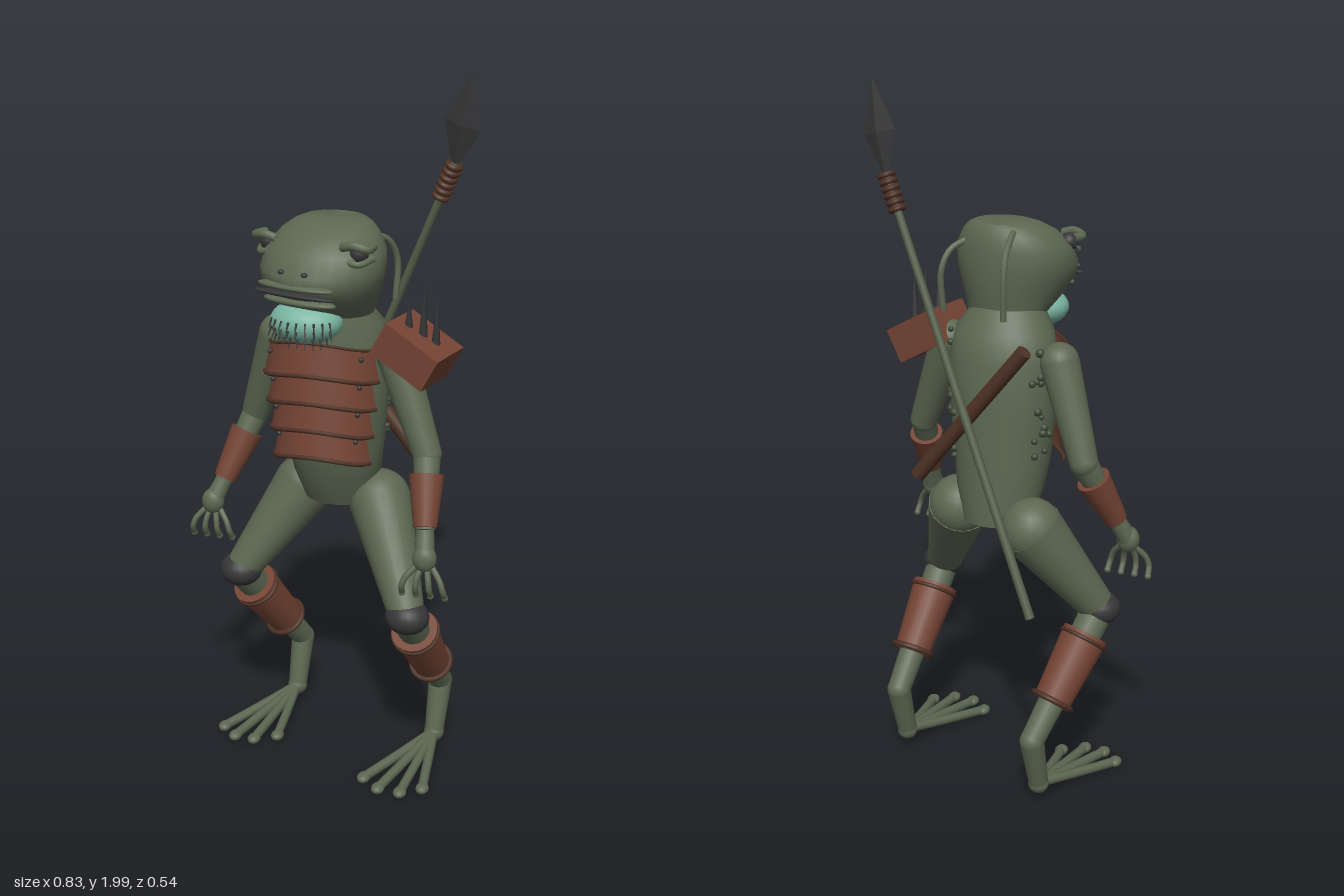
import * as THREE from 'three';
import { toCreasedNormals } from 'three/addons/utils/BufferGeometryUtils.js';

const mat = (name, color) => {
  const m = new THREE.MeshStandardMaterial({ color });
  m.name = name;
  return m;
};
const V = (a) => new THREE.Vector3(...a);
const UP = new THREE.Vector3(0, 1, 0);

export function createModel() {
  const root = new THREE.Group();
  root.name = 'frogWarrior';
  const skin = mat('skin green', 0x5c6852);
  const wood = mat('shaft green', 0x56604c);
  const wart = mat('wart green', 0x3f493a);
  const leather = mat('leather brown', 0x744434);
  const strap = mat('dark brown', 0x4d3124);
  const metal = mat('dark metal', 0x363638);
  const sac = mat('throat teal', 0x79b3a0);
  leather.side = THREE.DoubleSide;

  const add = (name, geo, material, pos = [0, 0, 0], parent = root) => {
    const m = new THREE.Mesh(geo, material);
    m.name = name;
    m.position.set(...pos);
    parent.add(m);
    return m;
  };
  // tapered cylinder from a (radius ra) to b (radius rb)
  const limb = (name, a, b, ra, rb, material, parent = root, sides = 20) => {
    const d = V(b).sub(V(a));
    const m = add(name, new THREE.CylinderGeometry(rb, ra, d.length(), sides), material, [0, 0, 0], parent);
    m.position.copy(V(a)).addScaledVector(d, 0.5);
    m.quaternion.setFromUnitVectors(UP, d.normalize());
    return m;
  };
  const ball = (name, p, r, material, scale = [1, 1, 1], parent = root) => {
    const m = add(name, new THREE.SphereGeometry(r, 20, 14), material, p, parent);
    m.scale.set(...scale);
    return m;
  };
  const tube = (name, pts, r, material, parent = root) =>
    add(name, new THREE.TubeGeometry(new THREE.CatmullRomCurve3(pts.map(V)), 14, r, 8), material, [0, 0, 0], parent);
  const ring = (name, p, dir, r, t, material) => {
    const m = add(name, new THREE.TorusGeometry(r, t, 8, 24), material, p);
    m.quaternion.setFromUnitVectors(new THREE.Vector3(0, 0, 1), dir.clone().normalize());
    return m;
  };
  const lerp = (a, b, t) => a.map((v, i) => v + (b[i] - v) * t);

  // closed body from elliptical sections [halfWidth, y, zBack, zFront]
  const loft = (sections) => {
    const first = sections[0], last = sections[sections.length - 1];
    const rows = [[0, ...first.slice(1)], ...sections, [0, ...last.slice(1)]];
    const geo = new THREE.LatheGeometry(rows.map((s) => new THREE.Vector2(s[0], s[1])), 32);
    const p = geo.attributes.position;
    for (let i = 0; i < p.count; i++) {
      const [w, , back, front] = rows[i % rows.length];
      const k = w > 0 ? p.getZ(i) / w : 0;
      p.setZ(i, (back + front) / 2 + k * (front - back) / 2);
    }
    return toCreasedNormals(geo, 0.7);
  };

  // torso
  add('torso', loft([
    [0.1, 0.79, -0.13, 0.04], [0.125, 0.88, -0.13, 0.085], [0.14, 0.98, -0.125, 0.115],
    [0.152, 1.12, -0.125, 0.125], [0.155, 1.25, -0.12, 0.125], [0.14, 1.33, -0.1, 0.12],
    [0.1, 1.39, -0.05, 0.12],
  ]), skin, [0.017, 0, 0]);

  // head, turned a little to its right
  const head = new THREE.Group();
  head.name = 'head';
  head.position.set(0.02, 0, 0.09);
  head.rotation.y = -0.22;
  root.add(head);
  add('skull', loft([
    [0.115, 1.37, -0.135, 0.06], [0.135, 1.41, -0.14, 0.125], [0.15, 1.44, -0.145, 0.155],
    [0.163, 1.47, -0.147, 0.175], [0.17, 1.5, -0.148, 0.172], [0.165, 1.55, -0.147, 0.14],
    [0.135, 1.59, -0.14, 0.09], [0.11, 1.61, -0.13, 0.05], [0.085, 1.62, -0.12, 0.02],
  ]), skin, [0, 0, 0], head);
  ball('mouthLine', [0, 1.452, 0.157], 0.125, metal, [1, 0.07, 0.15], head);
  ball('upperLip', [0, 1.472, 0.15], 0.115, skin, [1, 0.11, 0.26], head);
  ball('lowerLip', [0, 1.428, 0.13], 0.11, skin, [1, 0.13, 0.28], head);
  for (const s of [-1, 1]) {
    ball('eye', [s * 0.137, 1.558, 0.06], 0.025, metal, [1, 1, 1], head);
    tube('browRidge', [[s * 0.1, 1.575, 0.085], [s * 0.135, 1.583, 0.09], [s * 0.17, 1.575, 0.075], [s * 0.165, 1.575, 0.035]], 0.012, skin, head);
    tube('lowerLid', [[s * 0.115, 1.54, 0.09], [s * 0.15, 1.535, 0.085], [s * 0.168, 1.545, 0.04]], 0.009, skin, head);
    ball('nostril', [s * 0.035, 1.51, 0.162], 0.009, metal, [1, 0.7, 1], head);
  }
  tube('headTendril', [[-0.025, 1.605, -0.03], [-0.027, 1.56, -0.085], [-0.03, 1.5, -0.11], [-0.03, 1.38, -0.112]], 0.009, skin);
  tube('headTendril', [[0.12, 1.57, 0.0], [0.155, 1.545, -0.04], [0.172, 1.49, -0.065], [0.17, 1.38, -0.06]], 0.009, skin);

  // throat sac with bristles
  const sacC = [-0.01, 1.36, 0.16], sacR = [0.1, 0.058, 0.08];
  ball('throatSac', sacC, 1, sac, sacR);
  for (let row = 0; row < 3; row++) {
    for (let i = -4; i <= 4; i++) {
      const u = i * 0.24, v = 0.25 - row * 0.4;
      const n = [Math.sin(u) * Math.cos(v), Math.sin(v), Math.cos(u) * Math.cos(v)];
      const a = n.map((c, k) => sacC[k] + c * sacR[k]);
      limb('bristle', a, [a[0] + n[0] * 0.01, a[1] - 0.026, a[2] + n[2] * 0.014], 0.0035, 0.0008, metal, root, 6);
    }
  }

  // chest armour: four overlapping arched bands
  const armour = new THREE.Group();
  armour.name = 'chestArmour';
  armour.position.set(0.002, 0, 0.035);
  root.add(armour);
  for (let i = 0; i < 4; i++) {
    const top = 1.285 - i * 0.08, h = 0.088, r = 0.162 - i * 0.008, arc = 1.3;
    const arch = (t) => 0.016 * Math.cos(t * 2.2);
    const geo = new THREE.CylinderGeometry(r - 0.008, r + 0.008, h, 28, 3, true, -arc, arc * 2);
    const p = geo.attributes.position;
    for (let k = 0; k < p.count; k++) {
      const t = Math.atan2(p.getX(k), p.getZ(k));
      p.setXYZ(k, p.getX(k), p.getY(k) + arch(t), p.getZ(k) * 0.87);
    }
    geo.computeVertexNormals();
    add('chestBand', geo, leather, [0, top - h / 2, 0], armour);
    for (const [y, rr, th] of [[top, r - 0.008, 0.004], [top - h, r + 0.008, 0.006]]) {
      const pts = [];
      for (let k = -6; k <= 6; k++) {
        const t = (k / 6) * arc;
        pts.push([Math.sin(t) * rr, y + arch(t), Math.cos(t) * rr * 0.87]);
      }
      tube('bandRim', pts, th, strap, armour);
    }
    for (const s of [-1, 1]) ball('rivet', [s * r * 0.8, top - 0.03, r * 0.55], 0.007, metal, [1, 1, 1], armour);
  }

  // shoulder pad with spikes
  const pad = add('shoulderPad', new THREE.BoxGeometry(0.175, 0.1, 0.155), leather, [0.267, 1.28, 0.066]);
  pad.rotation.set(0, -0.2, -0.5);
  for (const [x, y, tip] of [[0.245, 1.33, 1.42], [0.285, 1.31, 1.46], [0.32, 1.29, 1.43]])
    limb('padSpike', [x, y, 0.07], [x + 0.005, tip, 0.08], 0.013, 0.001, metal, root, 10);

  // arms
  const arms = [
    { sh: [-0.16, 1.26, -0.03], el: [-0.25, 1.0, -0.075], wr: [-0.32, 0.81, 0.01], hand: [-0.345, 0.75, 0.035], s: -1 },
    { sh: [0.2, 1.27, 0.045], el: [0.31, 1.0, 0.095], wr: [0.335, 0.82, 0.19], hand: [0.343, 0.75, 0.22], s: 1 },
  ];
  for (const { sh, el, wr, hand, s } of arms) {
    ball('shoulder', sh, 0.055, skin);
    limb('upperArm', sh, el, 0.055, 0.04, skin);
    ball('elbow', el, 0.04, skin);
    limb('forearm', el, wr, 0.038, 0.026, skin);
    limb('bracer', lerp(el, wr, 0.28), lerp(el, wr, 0.97), 0.048, 0.032, leather);
    limb('wrist', wr, hand, 0.024, 0.028, skin);
    ball('palm', hand, 0.035, skin, [0.95, 1.1, 0.8]);
    const [x, y, z] = hand;
    for (let i = 0; i < 4; i++) {
      const o = (i - 1.5) * 0.038 * s;
      tube('finger', [[x + o * 0.35, y - 0.02, z], [x + o * 0.85, y - 0.055, z + 0.018], [x + o, y - 0.08, z + 0.02], [x + o * 1.05, y - 0.105, z + 0.005]], 0.0085, skin);
      ball('fingertip', [x + o * 1.05, y - 0.106, z + 0.005], 0.0095, skin);
    }
  }

  // legs with shin guards and long-toed feet
  const legs = [
    { hip: [-0.105, 0.79, -0.09], knee: [-0.27, 0.535, 0.015], ankle: [-0.165, 0.21, -0.23], heel: [-0.17, 0.055, -0.19], toes: [-0.315, -0.265, -0.205, -0.145], tipZ: 0.09 },
    { hip: [0.145, 0.8, -0.02], knee: [0.28, 0.535, 0.155], ankle: [0.315, 0.21, -0.1], heel: [0.31, 0.055, -0.06], toes: [0.17, 0.225, 0.29, 0.345], tipZ: 0.225 },
  ];
  for (const { hip, knee, ankle, heel, toes, tipZ } of legs) {
    ball('hip', hip, 0.088, skin);
    limb('thigh', hip, knee, 0.09, 0.05, skin, root, 24);
    ball('kneePad', knee, 0.058, metal, [1.08, 0.85, 1]);
    limb('shin', knee, ankle, 0.048, 0.034, skin);
    limb('shinGuard', lerp(knee, ankle, 0.2), lerp(knee, ankle, 0.72), 0.067, 0.053, leather);
    const dir = V(ankle).sub(V(knee));
    ring('guardRing', lerp(knee, ankle, 0.24), dir, 0.066, 0.006, strap);
    ring('guardRing', lerp(knee, ankle, 0.7), dir, 0.058, 0.008, strap);
    ball('ankle', ankle, 0.035, skin);
    limb('footBone', ankle, heel, 0.035, 0.028, skin);
    ball('heel', heel, 0.03, skin);
    toes.forEach((x, i) => {
      const z = tipZ + (i === 1 || i === 2 ? 0.01 : -0.03);
      const tip = [x, 0.02, z];
      const mid = lerp(heel, tip, 0.5);
      mid[1] = 0.036;
      tube('toe', [heel, mid, tip], 0.014, skin);
      ball('toePad', tip, 0.019, skin, [1, 0.75, 1.25]);
    });
  }

  // spear slung across the back
  const butt = [-0.168, 0.6, -0.255], neck = [0.315, 1.75, -0.1], point = [0.368, 2.0, -0.066];
  limb('spearShaft', butt, neck, 0.013, 0.011, wood, root, 12);
  const shaftDir = V(neck).sub(V(butt));
  limb('spearBinding', lerp(butt, neck, 0.92), lerp(butt, neck, 0.995), 0.019, 0.019, strap, root, 12);
  for (let i = 0; i < 6; i++) ring('bindingCoil', lerp(butt, neck, 0.92 + i * 0.015), shaftDir, 0.018, 0.008, strap);
  const blade = new THREE.Group();
  blade.name = 'spearBlade';
  const bladeDir = V(point).sub(V(neck)), len = bladeDir.length();
  const low = new THREE.CylinderGeometry(1, 0.2, len * 0.42, 4).toNonIndexed();
  const high = new THREE.ConeGeometry(1, len * 0.58, 4).toNonIndexed();
  low.computeVertexNormals();
  high.computeVertexNormals();
  add('bladeBase', low, metal, [0, len * 0.21, 0], blade).scale.set(0.056, 1, 0.015);
  add('bladeTip', high, metal, [0, len * 0.71, 0], blade).scale.set(0.056, 1, 0.015);
  blade.position.set(...neck);
  blade.quaternion.setFromUnitVectors(UP, bladeDir.normalize());
  blade.rotateY(-0.25);
  root.add(blade);

  // tube case across the back
  limb('backCase', [-0.1, 1.31, -0.135], [0.23, 0.91, -0.115], 0.021, 0.021, strap);

  // warts on the back and flanks
  let seed = 7;
  const rnd = () => (seed = (seed * 16807) % 2147483647) / 2147483647;
  for (const s of [-1, 1]) {
    for (let i = 0; i < 16; i++) {
      const a = s * (1.75 + rnd() * 0.55), y = 0.95 + rnd() * 0.37;
      ball('wart', [0.017 + Math.sin(a) * 0.15, y, Math.cos(a) * 0.122], 0.007 + rnd() * 0.006, wart);
    }
  }
  return root;
}
